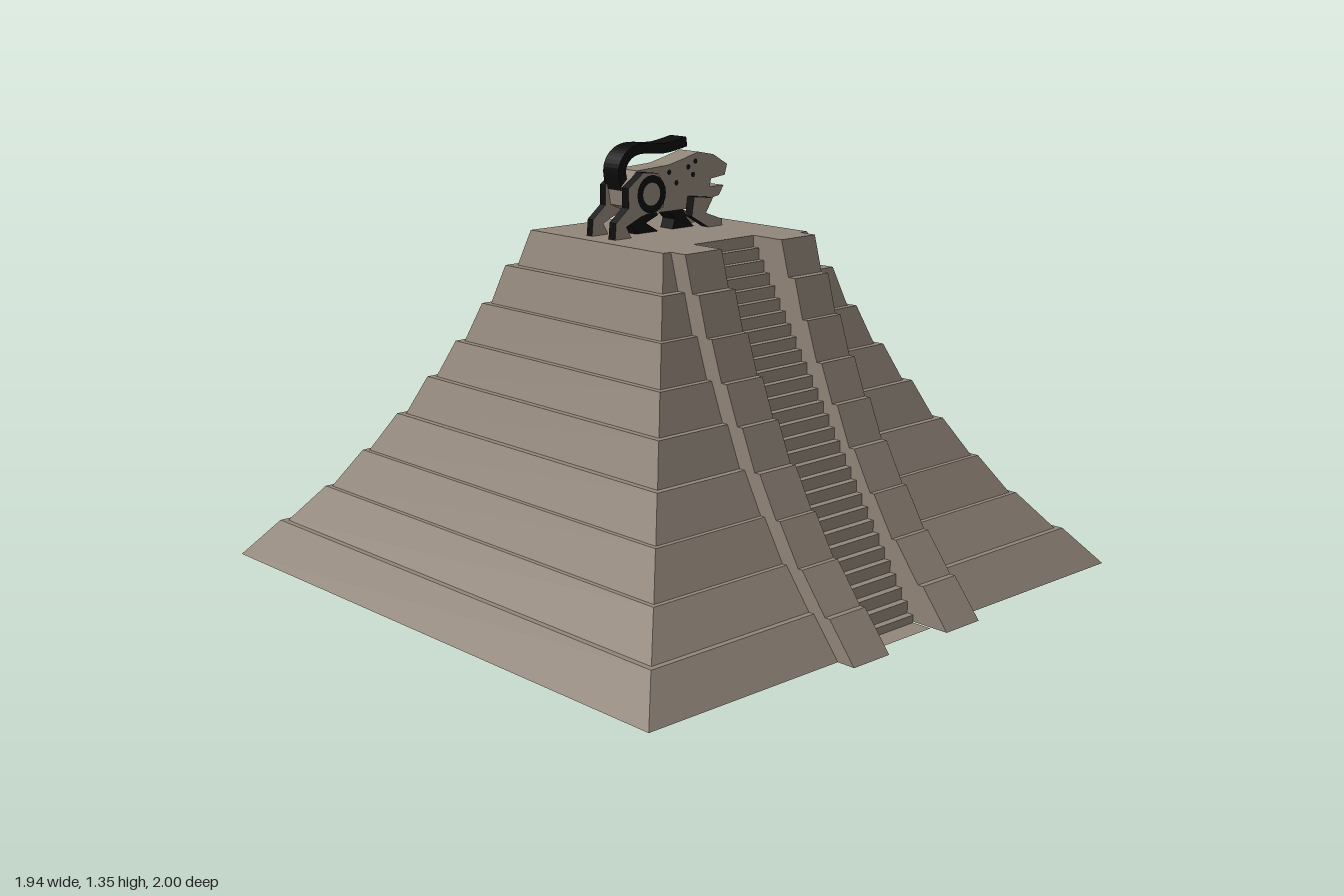
import * as THREE from 'three';

const stone = new THREE.MeshStandardMaterial({ color: 0x92867a, side: THREE.DoubleSide });
stone.name = 'stone';
const black = new THREE.MeshStandardMaterial({ color: 0x0b0c0b, side: THREE.DoubleSide });
black.name = 'black';

const CZ = -0.03;      // centre of the terraces in z
const TOP = 1.07;      // platform height
const STAIR = 0.125;   // half width of the stairway
const RAIL = 0.27;     // outer edge of the balustrades
const OUT = 0.06;      // balustrade projection

// Terrace levels and half widths at the foot and crown of each tier
const levels = [0.015, 0.13, 0.245, 0.365, 0.485, 0.605, 0.72, 0.84, 0.96, TOP];
const foot = [0.97, 0.86, 0.757, 0.67, 0.585, 0.515, 0.45, 0.39, 0.33];
const crown = [0.878, 0.772, 0.685, 0.605, 0.535, 0.47, 0.41, 0.357, 0.3];
const profile = foot.flatMap((f, i) => [[levels[i], f], [levels[i + 1], crown[i]]]);

const stairZ = y => 0.875 - (y / TOP) * 0.685;

// Collects flat quads into one mesh
function quadMesh(name, build) {
  const pos = [];
  build((a, b, c, d, flip = false) => {
    const q = flip ? [d, c, b, a] : [a, b, c, d];
    for (const i of [0, 1, 2, 0, 2, 3]) pos.push(...q[i]);
  });
  const g = new THREE.BufferGeometry();
  g.setAttribute('position', new THREE.Float32BufferAttribute(pos, 3));
  g.computeVertexNormals();
  const m = new THREE.Mesh(g, stone);
  m.name = name;
  return m;
}

// Horizontal rectangle facing up
const flat = (quad, x0, x1, z0, z1, y) =>
  quad([x0, y, z1], [x1, y, z1], [x1, y, z0], [x0, y, z0]);

function terraces() {
  return quadMesh('terraces', quad => {
    for (let i = 0; i < profile.length - 1; i++) {
      const [y0, h0] = profile[i], [y1, h1] = profile[i + 1];
      // right, back and left walls
      for (let k = 1; k < 4; k++) {
        const turn = (x, y, z) => {
          for (let n = 0; n < k; n++) [x, z] = [z, -x];
          return [x, y, z + CZ];
        };
        quad(turn(-h0, y0, h0), turn(h0, y0, h0), turn(h1, y1, h1), turn(-h1, y1, h1));
      }
      // front wall, open behind the stairway
      for (const s of [-1, 1]) {
        quad([s * RAIL, y0, CZ + h0], [s * h0, y0, CZ + h0],
          [s * h1, y1, CZ + h1], [s * RAIL, y1, CZ + h1], s < 0);
      }
    }
  });
}

function platform() {
  return quadMesh('platform', quad => {
    const back = CZ - 0.3, front = CZ + 0.3, notch = stairZ(TOP);
    flat(quad, -0.3, 0.3, back, notch, TOP);
    for (const s of [-1, 1]) {
      const span = (a, b) => [Math.min(s * a, s * b), Math.max(s * a, s * b)];
      flat(quad, ...span(STAIR, 0.3), notch, front, TOP);
      flat(quad, ...span(STAIR, RAIL), front, front + OUT, TOP);
    }
  });
}

function balustrade(s) {
  return quadMesh(s > 0 ? 'leftBalustrade' : 'rightBalustrade', quad => {
    for (let i = 0; i < profile.length - 1; i++) {
      const [y0, h0] = profile[i], [y1, h1] = profile[i + 1];
      const z0 = CZ + h0, z1 = CZ + h1, f0 = z0 + OUT, f1 = z1 + OUT;
      const a = s * STAIR, b = s * RAIL;
      quad([a, y0, f0], [b, y0, f0], [b, y1, f1], [a, y1, f1], s < 0);
      if (y0 === y1) continue;
      quad([b, y0, f0], [b, y0, z0], [b, y1, z1], [b, y1, f1], s < 0);
      quad([a, y0, f0], [a, y0, stairZ(y0)], [a, y1, stairZ(y1)], [a, y1, f1], s > 0);
    }
  });
}

function stairs() {
  return quadMesh('stairs', quad => {
    const n = 30;
    flat(quad, -STAIR, STAIR, 0.87, 0.94, 0.012);
    for (let i = 0; i < n; i++) {
      const y0 = TOP * i / n, y1 = TOP * (i + 1) / n;
      const z0 = stairZ(y0), z1 = stairZ(y1);
      quad([-STAIR, y0, z0], [STAIR, y0, z0], [STAIR, y1, z0], [-STAIR, y1, z0]);
      flat(quad, -STAIR, STAIR, z1, z0, y1);
    }
  });
}

// Upright slab cut from an outline, from z0 to z1
function slab(name, points, z0, z1, material) {
  const shape = new THREE.Shape(points.map(p => new THREE.Vector2(p[0], p[1])));
  const g = new THREE.ExtrudeGeometry(shape, { depth: z1 - z0, bevelEnabled: false });
  g.translate(0, 0, z0);
  const m = new THREE.Mesh(g, material);
  m.name = name;
  return m;
}

// Outline of a band of constant width along a curve
function band(points, width) {
  const curve = new THREE.SplineCurve(points.map(p => new THREE.Vector2(...p)));
  const left = [], right = [];
  for (let i = 0; i <= 24; i++) {
    const p = curve.getPoint(i / 24), t = curve.getTangent(i / 24);
    const dx = -t.y * width / 2, dy = t.x * width / 2;
    left.push([p.x + dx, p.y + dy]);
    right.unshift([p.x - dx, p.y - dy]);
  }
  return [...left, ...right];
}

function bigCat() {
  const cat = new THREE.Group();
  cat.name = 'bigCatStatue';
  const edged = [stone, black];

  cat.add(slab('bodyAndHead', [
    [-0.18, 1.22], [-0.13, 1.265], [0, 1.272], [0.07, 1.288], [0.125, 1.303], [0.19, 1.29],
    [0.25, 1.255], [0.24, 1.222], [0.18, 1.215], [0.175, 1.19], [0.235, 1.19], [0.215, 1.16],
    [0.15, 1.15], [0.1, 1.13], [-0.02, 1.13], [-0.1, 1.13], [-0.17, 1.16]], -0.115, -0.03, stone));
  cat.add(slab('tail', band([[-0.165, 1.21], [-0.175, 1.27], [-0.15, 1.31], [-0.1, 1.327],
    [0, 1.322], [0.09, 1.336]], 0.03), -0.115, -0.045, black));

  const hind = [[-0.13, 1.262], [-0.07, 1.255], [-0.04, 1.21], [-0.05, 1.15], [-0.14, 1.13],
    [-0.2, 1.105], [-0.18, 1.07], [-0.245, 1.07], [-0.24, 1.12], [-0.19, 1.16], [-0.19, 1.22]];
  const hindInner = [[-0.13, 1.15], [-0.06, 1.16], [-0.03, 1.12], [-0.08, 1.1], [-0.03, 1.07],
    [-0.12, 1.07], [-0.14, 1.1]];
  const fore = [[0.08, 1.17], [0.16, 1.16], [0.13, 1.115], [0.2, 1.09], [0.2, 1.07],
    [0.14, 1.07], [0.07, 1.11]];
  const foreInner = [[0, 1.14], [0.07, 1.14], [0.09, 1.1], [0.12, 1.07], [0.03, 1.07], [0.04, 1.1]];

  for (const [z0, z1, face, side] of [[-0.03, 0, 0.003, 'right'], [-0.13, -0.105, -0.133, 'left']]) {
    cat.add(slab(side + 'HindLeg', hind, z0, z1, edged));
    cat.add(slab(side + 'ForeLeg', fore, z0, z1, edged));
    // painted haunch ring
    const ring = new THREE.Mesh(new THREE.RingGeometry(0.035, 0.058, 20), black);
    ring.position.set(-0.1, 1.195, face);
    ring.name = side + 'HaunchRing';
    cat.add(ring);
    // painted coat spots
    const skin = side === 'right' ? -0.027 : -0.118;
    for (const [x, y] of [[0.08, 1.26], [0.11, 1.275], [0.1, 1.235], [0.0, 1.25], [0.03, 1.215]]) {
      const spot = new THREE.Mesh(new THREE.CircleGeometry(0.009, 6), black);
      spot.position.set(x, y, skin);
      spot.name = side + 'CoatSpot';
      cat.add(spot);
    }
  }
  cat.add(slab('innerHindLeg', hindInner, -0.1, -0.045, black));
  cat.add(slab('innerForeLeg', foreInner, -0.1, -0.045, black));
  return cat;
}

export function createModel() {
  const model = new THREE.Group();
  model.name = 'steppedPyramid';
  model.add(terraces(), platform(), balustrade(1), balustrade(-1), stairs(), bigCat());
  return model;
}
